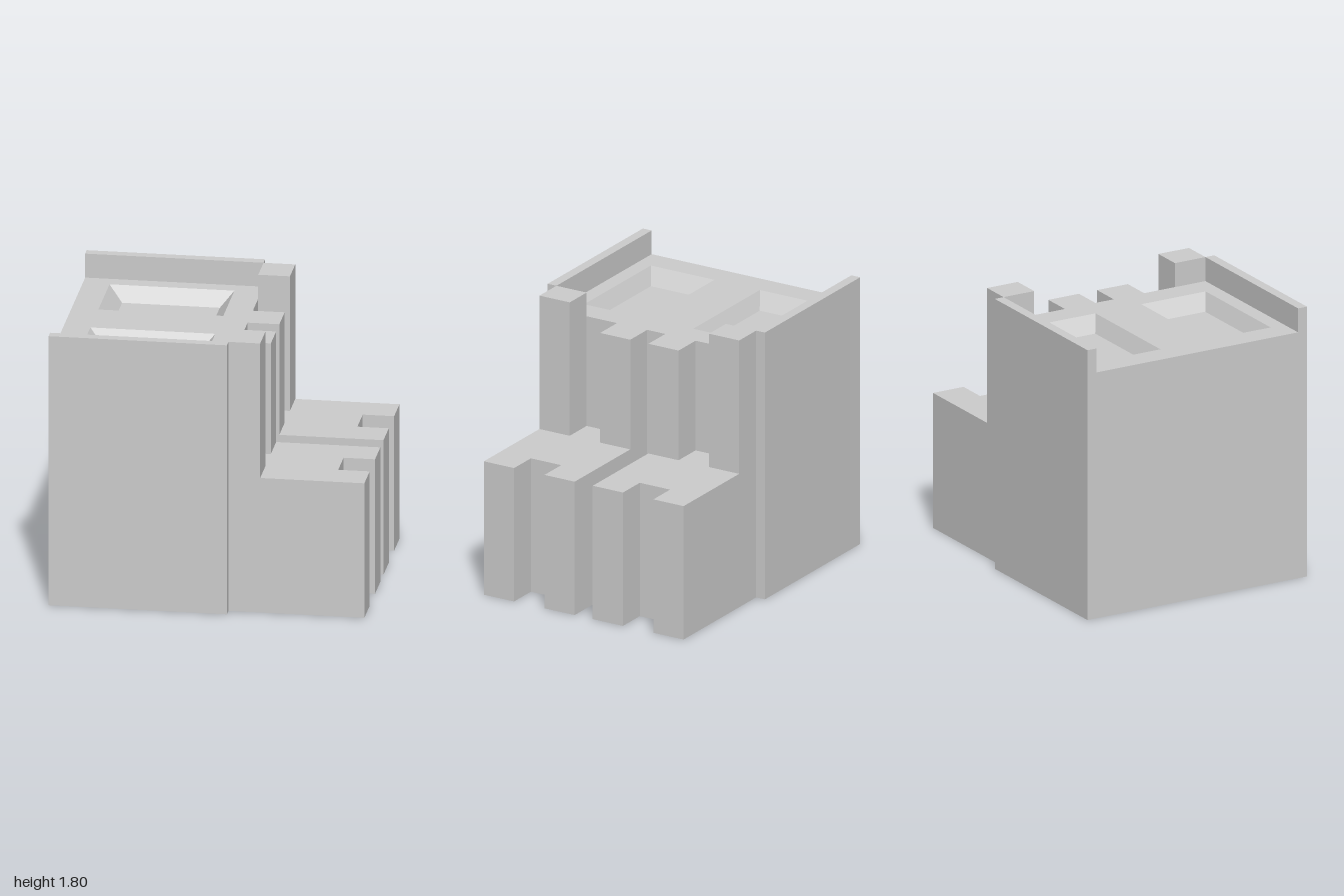
import * as THREE from 'three';

const material = new THREE.MeshStandardMaterial({ color: 0xcccccc, flatShading: true });

// Outlines are [x, s] pairs seen from above, counter-clockwise, with s = -z.
const mirrored = half => [...half, ...half.map(([x, s]) => [x, -s]).reverse()];
const rect = (x0, x1, s0, s1) => [[x0, s0], [x1, s0], [x1, s1], [x0, s1]];
const toShape = pts => new THREE.Shape(pts.map(p => new THREE.Vector2(...p)));

// Wall joining two loops of equal length at heights y0 and y1
function band(low, y0, high, y1) {
  const pos = [];
  low.forEach((p, i) => {
    const j = (i + 1) % low.length;
    const a = [p[0], y0, -p[1]], b = [low[j][0], y0, -low[j][1]];
    const c = [high[j][0], y1, -high[j][1]], d = [high[i][0], y1, -high[i][1]];
    pos.push(...a, ...b, ...c, ...a, ...c, ...d);
  });
  const g = new THREE.BufferGeometry();
  g.setAttribute('position', new THREE.Float32BufferAttribute(pos, 3));
  g.computeVertexNormals();
  return g;
}

// Flat upward-facing surface
const cap = (pts, y, holes = []) => {
  const shape = toShape(pts);
  holes.forEach(h => shape.holes.push(new THREE.Path(h.map(p => new THREE.Vector2(...p)))));
  return new THREE.ShapeGeometry(shape).rotateX(-Math.PI / 2).translate(0, y, 0);
};

export function createModel() {
  const group = new THREE.Group();
  const add = (name, geometry) => {
    const mesh = new THREE.Mesh(geometry, material);
    mesh.name = name;
    group.add(mesh);
  };
  const box = (name, x0, x1, y0, y1, z0, z1) =>
    add(name, new THREE.BoxGeometry(x1 - x0, y1 - y0, z1 - z0)
      .translate((x0 + x1) / 2, (y0 + y1) / 2, (z0 + z1) / 2));

  const stepY = 0.9, deckY = 1.64, topY = 1.8, faceX = 0.135, postX = 0.337;
  const z1 = 0.067, z2 = 0.291, z3 = 0.516, z4 = 0.74, z5 = 0.805;

  // Base with two notched steps split by a central slot
  const baseOutline = mirrored([[faceX, z1], [1, z1], [1, z2], [0.8, z2], [0.8, z3],
    [1, z3], [1, z4], [-1, z4]]);
  add('base', new THREE.ExtrudeGeometry(toShape(baseOutline), { depth: stepY, bevelEnabled: false })
    .rotateX(-Math.PI / 2));

  // Upper body with the two inner posts
  const upper = mirrored([[faceX, z1], [postX, z1], [postX, z2], [faceX, z2], [faceX, z4], [-1, z4]]);
  add('upperBody', band(upper, stepY, upper, deckY));

  // Deck with two sloped pockets
  const rims = [rect(-0.83, -0.035, 0.168, 0.64), rect(-0.83, -0.035, -0.64, -0.168)];
  const floors = [rect(-0.742, -0.12, 0.221, 0.586), rect(-0.742, -0.12, -0.586, -0.221)];
  const floorY = deckY - 0.1;
  add('deck', cap(upper, deckY, rims));
  rims.forEach((rim, i) => {
    add('pocketWalls', band([...floors[i]].reverse(), floorY, [...rim].reverse(), deckY));
    add('pocketFloor', cap(floors[i], floorY));
  });

  // Side panels and tall outer posts
  for (const side of [1, -1]) {
    const span = (a, b) => (side > 0 ? [a, b] : [-b, -a]);
    box('sidePanel', -1, faceX, 0, topY, ...span(z4, z5));
    box('outerPost', faceX, postX, stepY, topY, ...span(z3, z4));
  }
  return group;
}
